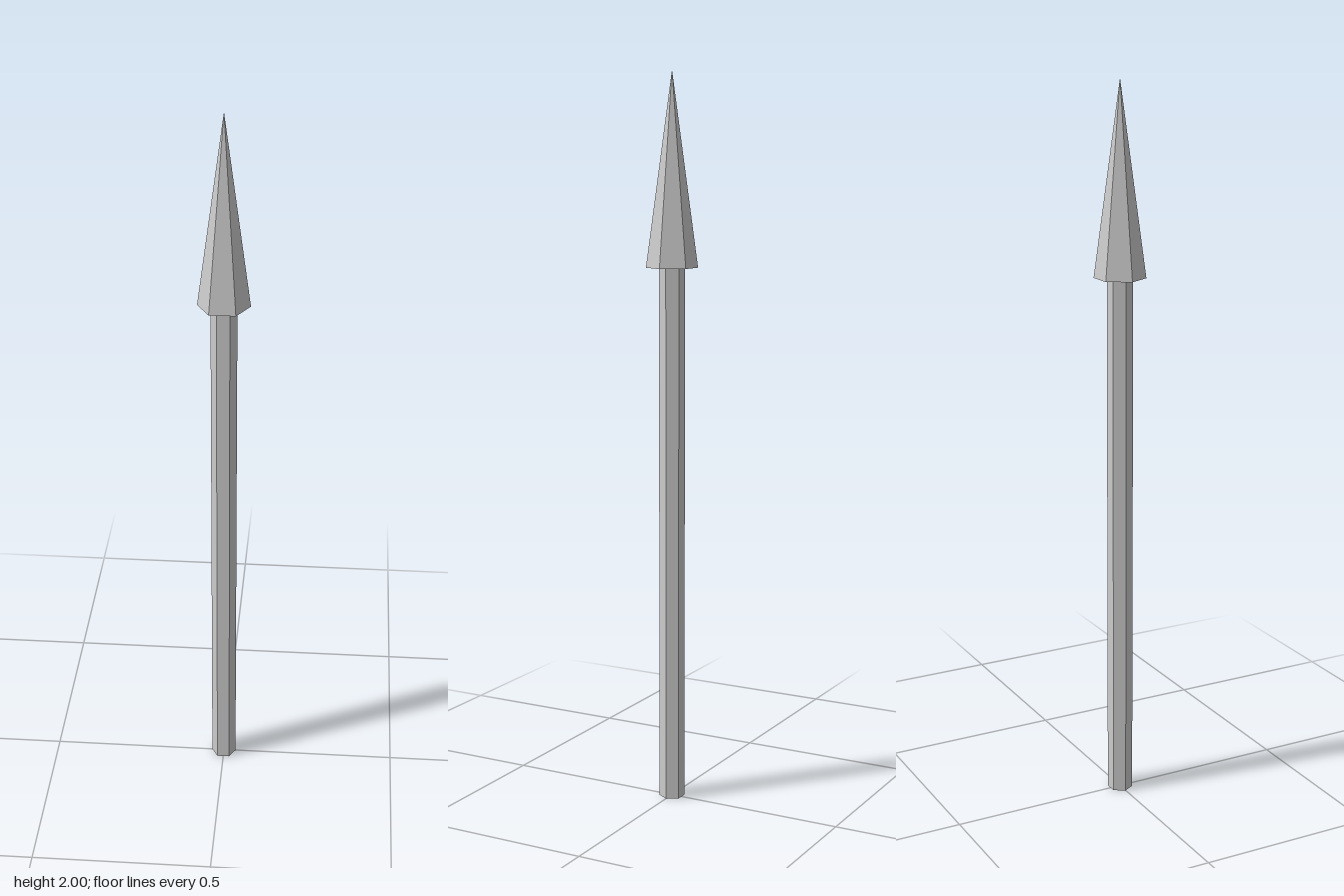
import * as THREE from 'three';

const SIDES = 6;
const HEAD_BASE = 1.48;
const TOP = 2;

export function createModel() {
  const model = new THREE.Group();
  model.name = 'spear';
  const material = new THREE.MeshStandardMaterial({ color: 0xcccccc, flatShading: true });

  // Six-sided part between two heights, with corners on the x axis
  function addPart(name, topRadius, bottomRadius, y0, y1) {
    const geometry = new THREE.CylinderGeometry(topRadius, bottomRadius, y1 - y0, SIDES);
    geometry.rotateY(Math.PI / 2);
    geometry.translate(0, (y0 + y1) / 2, 0);
    const mesh = new THREE.Mesh(geometry, material);
    mesh.name = name;
    model.add(mesh);
  }

  // Straight shaft and pointed head
  addPart('shaft', 0.035, 0.035, 0, HEAD_BASE);
  addPart('head', 0, 0.07, HEAD_BASE, TOP);

  return model;
}
